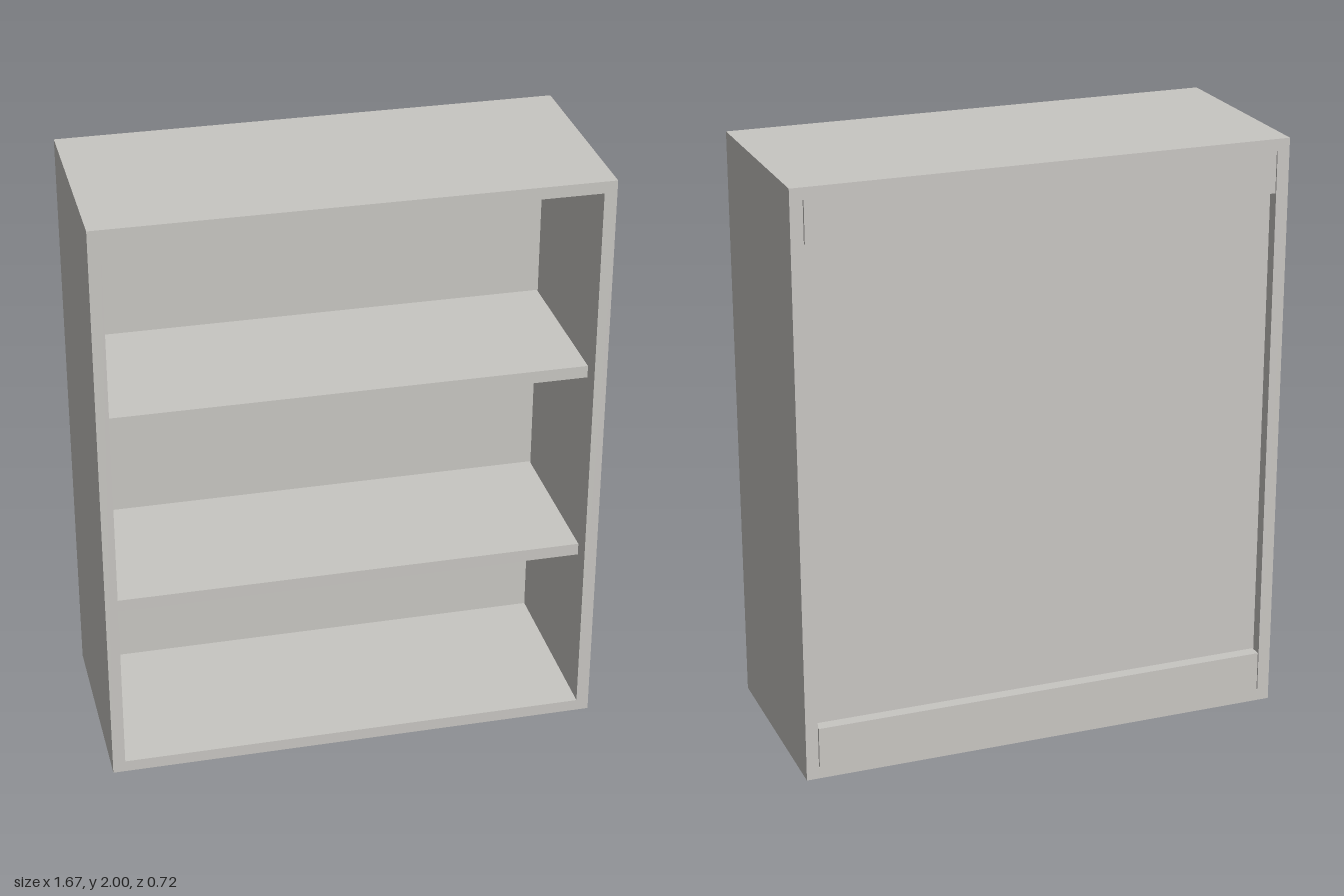
import * as THREE from 'three';

const W = 1.666, H = 2, D = 0.716; // overall size
const T = 0.042;                   // board thickness
const GAP = 0.003;                 // clearance beside fitted boards

export function createModel() {
  const bookcase = new THREE.Group();
  bookcase.name = 'bookcase';
  const board = new THREE.MeshStandardMaterial({ color: 0xc8c6c2 });
  board.name = 'pale grey board';

  // A board given by its extents along each axis
  const add = (name, [x0, x1], [y0, y1], [z0, z1]) => {
    const mesh = new THREE.Mesh(new THREE.BoxGeometry(x1 - x0, y1 - y0, z1 - z0), board);
    mesh.position.set((x0 + x1) / 2, (y0 + y1) / 2, (z0 + z1) / 2);
    mesh.name = name;
    bookcase.add(mesh);
  };

  const inner = W / 2 - T, front = D / 2, back = -D / 2;
  const full = [-inner, inner], fitted = [-inner + GAP, inner - GAP];
  const railFront = back + T, panelFront = railFront + T;

  // Carcass
  add('leftSide', [inner, W / 2], [0, H], [back, front]);
  add('rightSide', [-W / 2, -inner], [0, H], [back, front]);
  add('topBoard', full, [H - 0.04, H], [back, front]);
  add('bottomBoard', full, [0, 0.04], [back, front]);

  // Back panel, recessed behind two rails
  add('backPanel', full, [0.04, H - 0.04], [railFront, panelFront]);
  add('upperBackRail', fitted, [H - 0.18, H - 0.04], [back, railFront]);
  add('lowerBackRail', fitted, [0.04, 0.18], [back, railFront]);

  // Shelves, set back from the front edge
  for (const y of [0.6, 1.28]) add('shelf', fitted, [y, y + 0.042], [panelFront, front - 0.06]);

  return bookcase;
}
